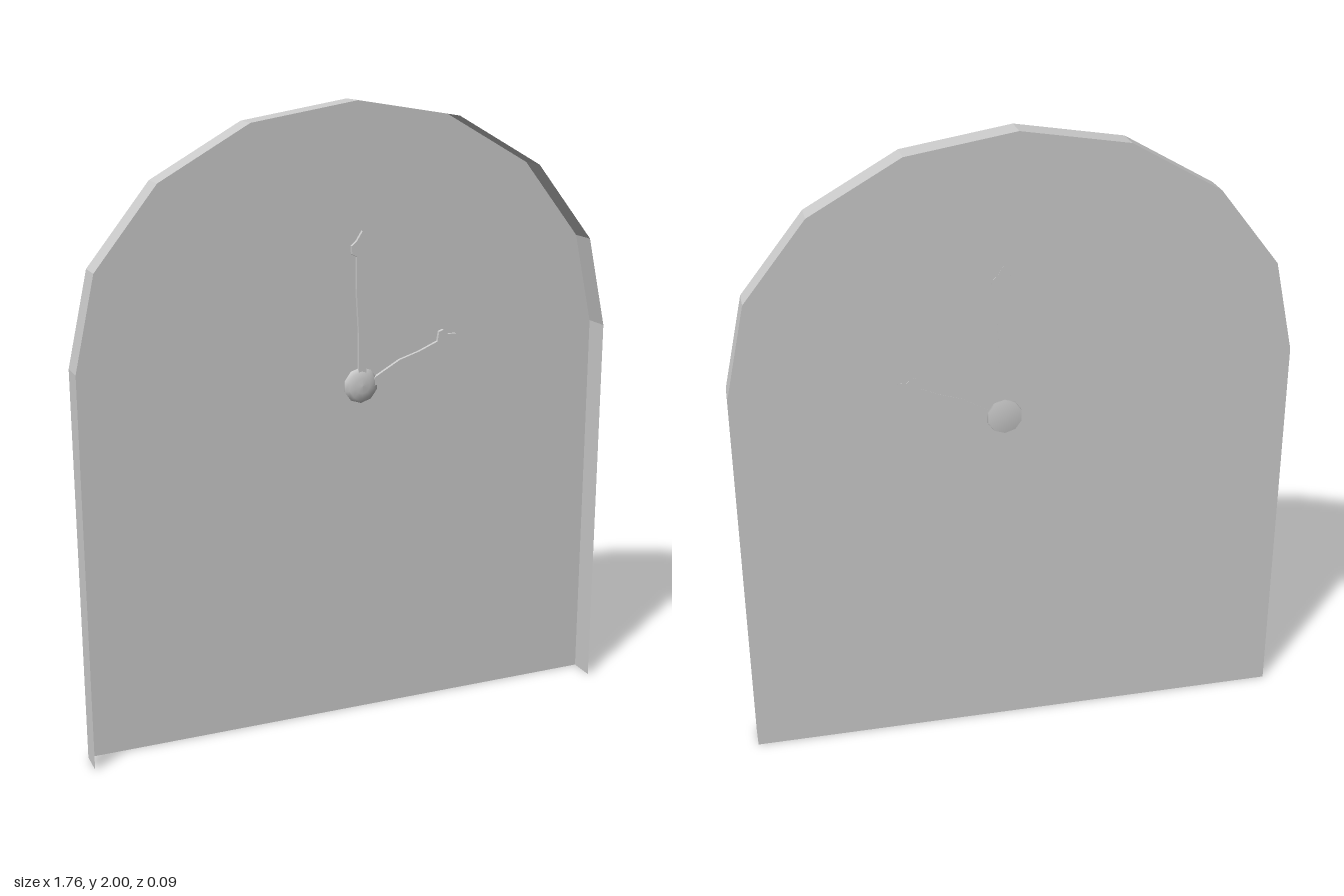
import * as THREE from 'three';

const material = new THREE.MeshStandardMaterial({ color: 0xcccccc, side: THREE.DoubleSide });
const flatMaterial = new THREE.MeshStandardMaterial({ color: 0xcccccc, side: THREE.DoubleSide, flatShading: true });

const BACK = -0.04, FRONT = 0.046;
const HUB_X = 0.046, HUB_Y = 1.11;

const toShape = (points) => new THREE.Shape(points.map(([x, y]) => new THREE.Vector2(x, y)));

// Right half from bottom to top, mirrored about x = 0
const mirrored = (half) => [...half, ...half.filter(([x]) => x > 0).reverse().map(([x, y]) => [-x, y])];

function add(group, name, geometry, mat) {
  const mesh = new THREE.Mesh(geometry, mat);
  mesh.name = name;
  group.add(mesh);
  return mesh;
}

// Thin wall following the outline, open along the bottom
function rimGeometry(outline) {
  const positions = [];
  for (let i = 0; i < outline.length - 1; i++) {
    const [ax, ay] = outline[i], [bx, by] = outline[i + 1];
    positions.push(ax, ay, FRONT, ax, ay, BACK, bx, by, BACK);
    positions.push(ax, ay, FRONT, bx, by, BACK, bx, by, FRONT);
  }
  const geometry = new THREE.BufferGeometry();
  geometry.setAttribute('position', new THREE.Float32BufferAttribute(positions, 3));
  geometry.computeVertexNormals();
  return geometry;
}

function handGeometry(points) {
  const geometry = new THREE.ExtrudeGeometry(toShape(points), { depth: 0.013, bevelEnabled: false });
  return geometry.translate(0, 0, BACK - 0.001);
}

export function createModel() {
  const model = new THREE.Group();
  model.name = 'archedClock';

  // Arched back panel and its forward-facing rim
  const outline = mirrored([[0.88, 0], [0.88, 1.25], [0.815, 1.54], [0.62, 1.785], [0.337, 1.945], [0, 2]]);
  add(model, 'backPanel', new THREE.ShapeGeometry(toShape(outline)).translate(0, 0, BACK), flatMaterial);
  add(model, 'rim', rimGeometry(outline), flatMaterial);

  // Upright minute hand with a spade tip
  const minute = mirrored([
    [0.013, 1.12], [0.012, 1.28], [0.02, 1.42], [0.019, 1.52],
    [0.035, 1.53], [0.036, 1.555], [0.019, 1.57], [0, 1.6],
  ]).map(([x, y]) => [x + 0.048, y]);
  add(model, 'minuteHand', handGeometry(minute), flatMaterial);

  // Hour hand pointing up to the side
  const hour = [
    [0.06, 1.1], [0.098, 1.108], [0.178, 1.134], [0.246, 1.171], [0.331, 1.203], [0.352, 1.198], [0.374, 1.229],
    [0.376, 1.251], [0.347, 1.251], [0.331, 1.267], [0.315, 1.261], [0.31, 1.23],
    [0.246, 1.203], [0.178, 1.182], [0.093, 1.134],
  ];
  add(model, 'hourHand', handGeometry(hour), flatMaterial);

  // Shallow domed hub over the hand pivots
  const profile = [[0, -0.006], [0.055, -0.006], [0.058, 0.004], [0.045, 0.013], [0.025, 0.018], [0, 0.02]];
  const hub = add(model, 'hub', new THREE.LatheGeometry(profile.map(([r, h]) => new THREE.Vector2(r, h)), 10), material);
  hub.rotation.x = Math.PI / 2;
  hub.position.set(HUB_X, HUB_Y, BACK);

  return model;
}
